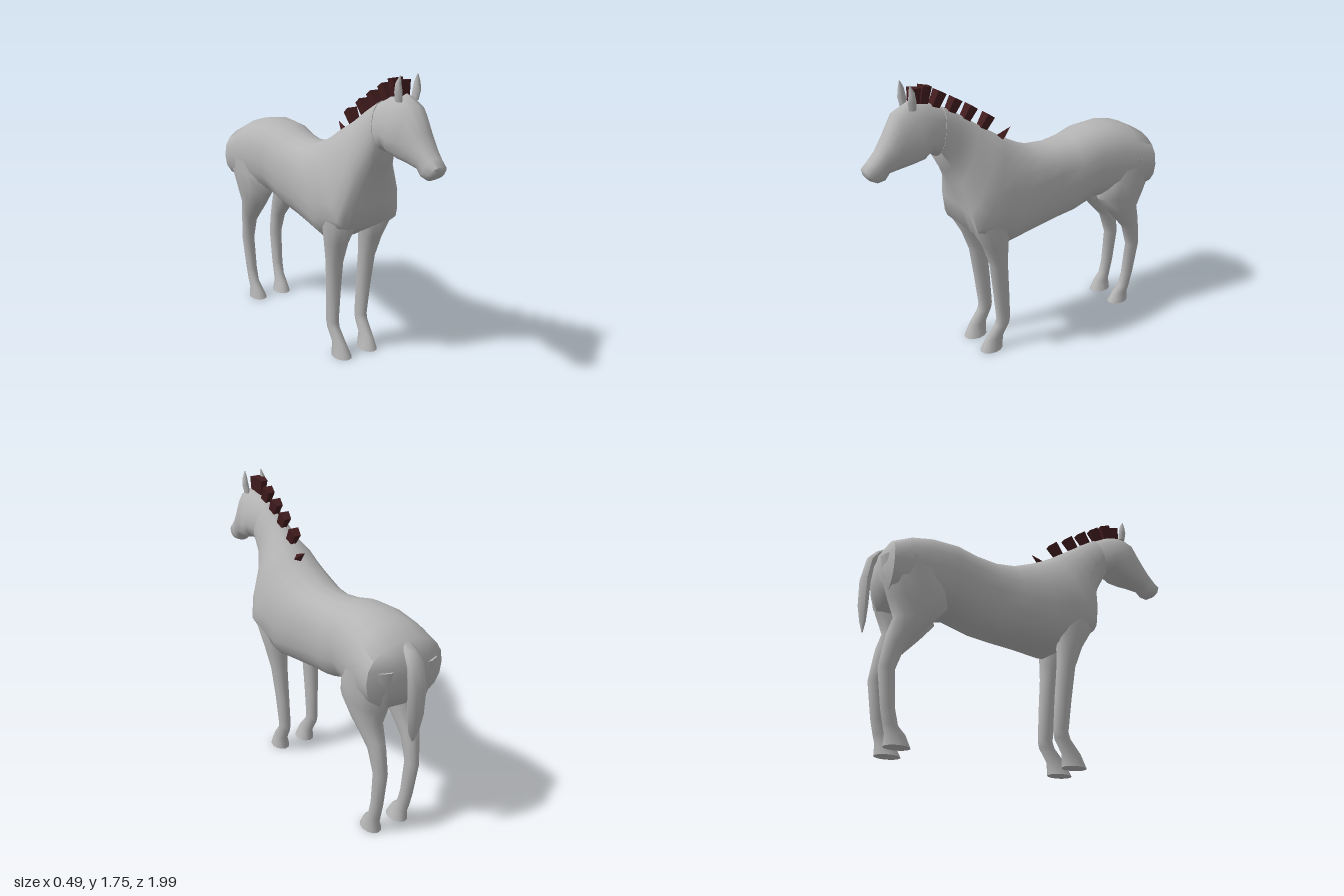
import * as THREE from 'three';
import { toCreasedNormals } from 'three/addons/utils/BufferGeometryUtils.js';

// Skin closed rings. Section: [z1, y1, z2, y2, halfWidth, xCentre, bias, squareness].
// Each ring spans from point 1 to point 2 in the side plane; bias moves its widest level to point 2.
function loft(sections, sides = 16) {
  const pos = [], index = [];
  for (const [z1, y1, z2, y2, w, xc = 0, bias = 0, p = 1] of sections) {
    const zm = (z1 + z2) / 2, ym = (y1 + y2) / 2;
    for (let j = 0; j < sides; j++) {
      const a = (j / sides) * Math.PI * 2;
      const c = Math.cos(a), s = Math.sin(a);
      const x = Math.sign(c) * Math.abs(c) ** p * w;
      const v = Math.sign(s) * Math.abs(s) ** p - bias * c * c;
      pos.push(xc + x, ym + v * (y1 - y2) / 2, zm + v * (z1 - z2) / 2);
    }
  }
  const n = sections.length;
  for (let i = 0; i < n - 1; i++) {
    for (let j = 0; j < sides; j++) {
      const k = (j + 1) % sides;
      const a = i * sides + j, b = i * sides + k, c = a + sides, d = b + sides;
      index.push(a, b, c, b, d, c);
    }
  }
  // End caps
  for (const i of [0, n - 1]) {
    const [z1, y1, z2, y2, , xc = 0] = sections[i];
    const centre = pos.length / 3;
    pos.push(xc, (y1 + y2) / 2, (z1 + z2) / 2);
    for (let j = 0; j < sides; j++) {
      const a = i * sides + j, b = i * sides + (j + 1) % sides;
      if (i === 0) index.push(centre, b, a);
      else index.push(centre, a, b);
    }
  }
  const geo = new THREE.BufferGeometry();
  geo.setAttribute('position', new THREE.Float32BufferAttribute(pos, 3));
  geo.setIndex(index);
  return toCreasedNormals(geo, 1.0);
}

// Rump, barrel and shoulder: top point, bottom point, half width
const BODY = [
  [-0.915, 1.13, -0.92, 0.96, 0.11, 0, 0, 0.85],
  [-0.865, 1.21, -0.865, 0.84, 0.247, 0, 0, 0.85],
  [-0.75, 1.27, -0.75, 0.81, 0.238, 0, 0, 0.85],
  [-0.62, 1.297, -0.62, 0.81, 0.222, 0, 0, 0.85],
  [-0.46, 1.29, -0.48, 0.83, 0.205, 0, 0, 0.85],
  [-0.34, 1.258, -0.32, 0.77, 0.19, 0, 0, 0.85],
  [-0.2, 1.24, -0.18, 0.745, 0.177, 0, 0, 0.85],
  [-0.08, 1.247, -0.02, 0.73, 0.198, 0, 0.05, 0.85],
  [0.02, 1.285, 0.18, 0.71, 0.22, 0, 0.15, 0.85],
  [0.09, 1.32, 0.33, 0.8, 0.226, 0, 0.3, 0.85],
  [0.15, 1.355, 0.425, 0.865, 0.222, 0, 0.45, 0.8],
  // neck
  [0.22, 1.4, 0.45, 1.0, 0.195, 0, 0.45, 0.8],
  [0.31, 1.46, 0.49, 1.14, 0.135, 0, 0.3],
  [0.41, 1.53, 0.53, 1.23, 0.105, 0, 0.2],
  [0.51, 1.59, 0.58, 1.325, 0.098, 0, 0.2],
];

const HEAD = [
  [0.51, 1.585, 0.58, 1.325, 0.096, 0, 0.2],
  [0.61, 1.635, 0.635, 1.37, 0.115, 0, 0.45],
  [0.715, 1.657, 0.67, 1.34, 0.118, 0, 0.45],
  [0.8, 1.61, 0.735, 1.318, 0.1, 0, 0.3, 0.85],
  [0.87, 1.485, 0.79, 1.302, 0.08, 0, 0.1, 0.85],
  [0.915, 1.415, 0.855, 1.29, 0.066, 0, 0, 0.85],
  [0.96, 1.37, 0.88, 1.255, 0.058, 0, 0, 0.85],
  [0.997, 1.335, 0.925, 1.248, 0.054, 0, 0, 0.85],
  [0.993, 1.31, 0.965, 1.268, 0.035],
];

// Legs run downward: [y, zFront, zBack, xCentre, halfWidth]
const FRONT_LEG = [
  [1.05, 0.42, 0.14, 0.12, 0.085],
  [0.88, 0.425, 0.16, 0.125, 0.088],
  [0.74, 0.345, 0.18, 0.122, 0.068],
  [0.6, 0.295, 0.18, 0.117, 0.05],
  [0.4, 0.27, 0.165, 0.11, 0.04],
  [0.2, 0.247, 0.155, 0.105, 0.035],
  [0.16, 0.26, 0.162, 0.104, 0.034],
  [0.08, 0.325, 0.205, 0.1, 0.035],
  [0, 0.36, 0.21, 0.095, 0.055],
];

const HIND_LEG = [
  [1.08, -0.58, -0.92, 0.13, 0.105],
  [0.94, -0.53, -0.9, 0.128, 0.11],
  [0.83, -0.51, -0.865, 0.125, 0.098],
  [0.72, -0.6, -0.822, 0.122, 0.075],
  [0.62, -0.69, -0.852, 0.117, 0.055],
  [0.56, -0.742, -0.862, 0.114, 0.047],
  [0.42, -0.787, -0.882, 0.11, 0.039],
  [0.2, -0.768, -0.85, 0.105, 0.034],
  [0.11, -0.745, -0.83, 0.103, 0.033],
  [0.065, -0.7, -0.818, 0.1, 0.037],
  [0, -0.67, -0.82, 0.095, 0.055],
];

const TAIL = [
  [-0.86, 1.16, -0.87, 1.205, 0.03],
  [-0.9, 1.13, -0.92, 1.175, 0.045],
  [-0.925, 1.08, -0.97, 1.12, 0.055],
  [-0.938, 0.97, -0.998, 0.98, 0.06],
  [-0.94, 0.82, -0.995, 0.82, 0.052],
  [-0.945, 0.72, -0.978, 0.72, 0.035],
  [-0.955, 0.66, -0.962, 0.66, 0.008],
];

// Mane tufts: [z, y, backward tilt]
const TUFTS = [
  [0.675, 1.675, 0.1], [0.617, 1.677, 0.22], [0.54, 1.635, 0.5], [0.445, 1.58, 0.55],
  [0.35, 1.522, 0.6], [0.24, 1.45, 0.62],
];

export function createModel() {
  const coat = new THREE.MeshStandardMaterial({ name: 'grey coat', color: 0xb5b5b5 });
  const hair = new THREE.MeshStandardMaterial({ name: 'dark brown hair', color: 0x421c1e });
  const model = new THREE.Group();
  model.name = 'horse';

  const add = (name, geo, mat = coat) => {
    const mesh = new THREE.Mesh(geo, mat);
    mesh.name = name;
    model.add(mesh);
    return mesh;
  };

  add('body', loft(BODY, 20));
  add('head', loft(HEAD));
  add('tail', loft(TAIL, 10));

  for (const [side, s] of [['left', 1], ['right', -1]]) {
    const leg = (rows) => loft(rows.map(([y, zf, zb, x, w]) => [zf, y, zb, y, w, s * x]), 12);
    add(side + 'FrontLeg', leg(FRONT_LEG));
    add(side + 'HindLeg', leg(HIND_LEG));

    // Ears lean slightly forward and taper to a point
    add(side + 'Ear', loft([
      [0.728, 1.755, 0.722, 1.755, 0.003, s * 0.057],
      [0.735, 1.71, 0.7, 1.715, 0.015, s * 0.062],
      [0.742, 1.67, 0.692, 1.67, 0.019, s * 0.06],
      [0.735, 1.62, 0.69, 1.62, 0.017, s * 0.052],
    ], 8));
  }

  // Mane: wedge blocks, wider at the top and the front
  const tuft = new THREE.BoxGeometry(0.066, 0.095, 0.06);
  const p = tuft.attributes.position;
  for (let i = 0; i < p.count; i++) {
    const k = (p.getY(i) > 0 ? 1 : 0.75) * (p.getZ(i) > 0 ? 1 : 0.65);
    p.setX(i, p.getX(i) * k);
    if (p.getY(i) < 0) p.setZ(i, p.getZ(i) * 0.85);
  }
  tuft.computeVertexNormals();
  for (const [z, y, tilt] of TUFTS) {
    const m = add('maneTuft', tuft, hair);
    m.position.set(0, y, z);
    m.rotation.x = -tilt;
  }

  // Last pointed tuft at the withers
  const point = new THREE.ConeGeometry(0.036, 0.11, 4).toNonIndexed();
  point.computeVertexNormals();
  const last = add('maneEnd', point, hair);
  last.position.set(0.018, 1.365, 0.125);
  last.rotation.x = -0.92;

  return model;
}
